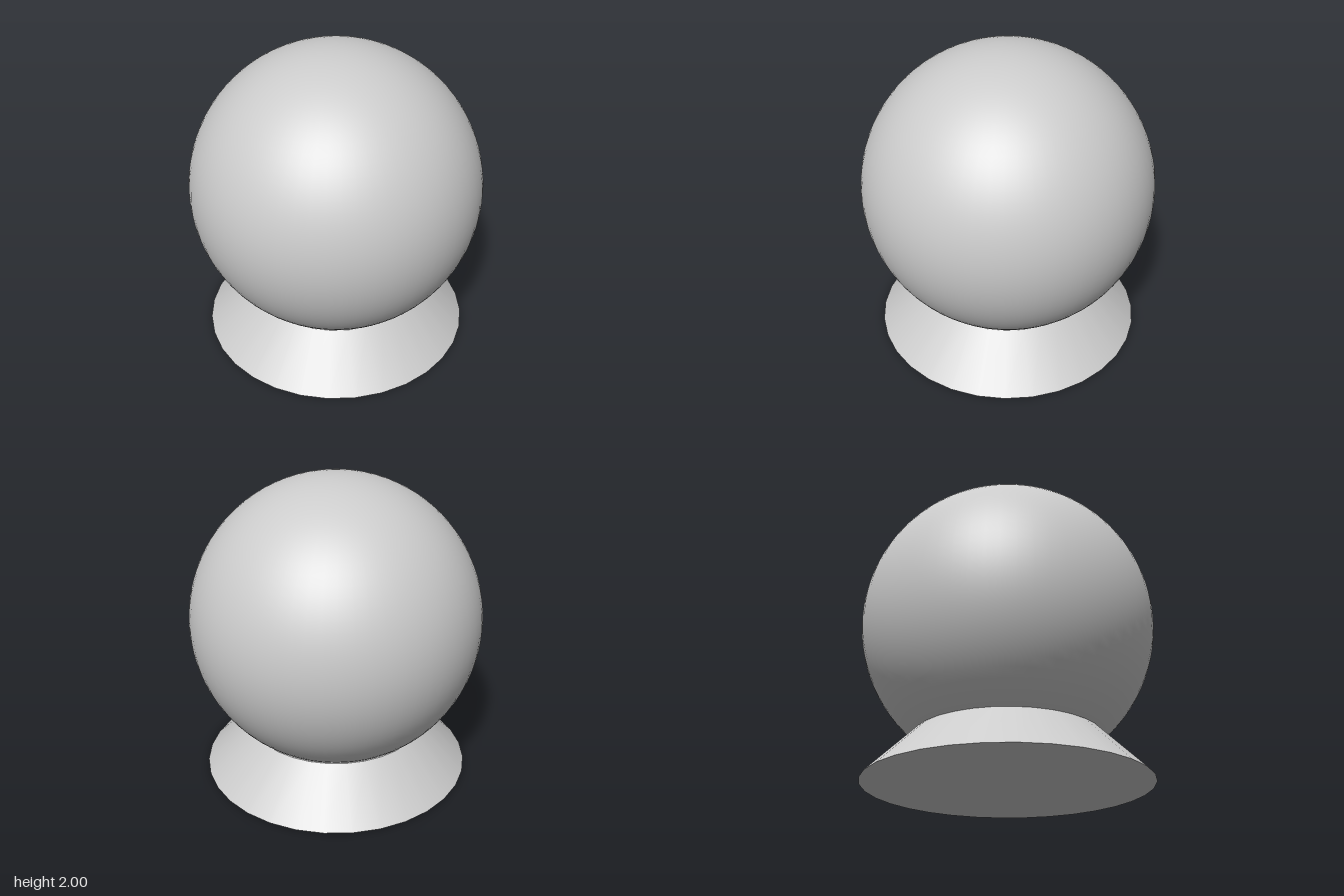
import * as THREE from 'three';

export function createModel() {
  const model = new THREE.Group();
  const material = new THREE.MeshStandardMaterial({ color: 0xcccccc });

  const add = (name, geometry, y) => {
    const mesh = new THREE.Mesh(geometry, material);
    mesh.name = name;
    mesh.position.y = y;
    model.add(mesh);
  };

  // Flared, closed stand
  add('base', new THREE.CylinderGeometry(0.593, 0.895, 0.3, 32), 0.15);

  // Large ball sunk into the stand
  add('globe', new THREE.SphereGeometry(0.95, 64, 48), 1.05);

  return model;
}
